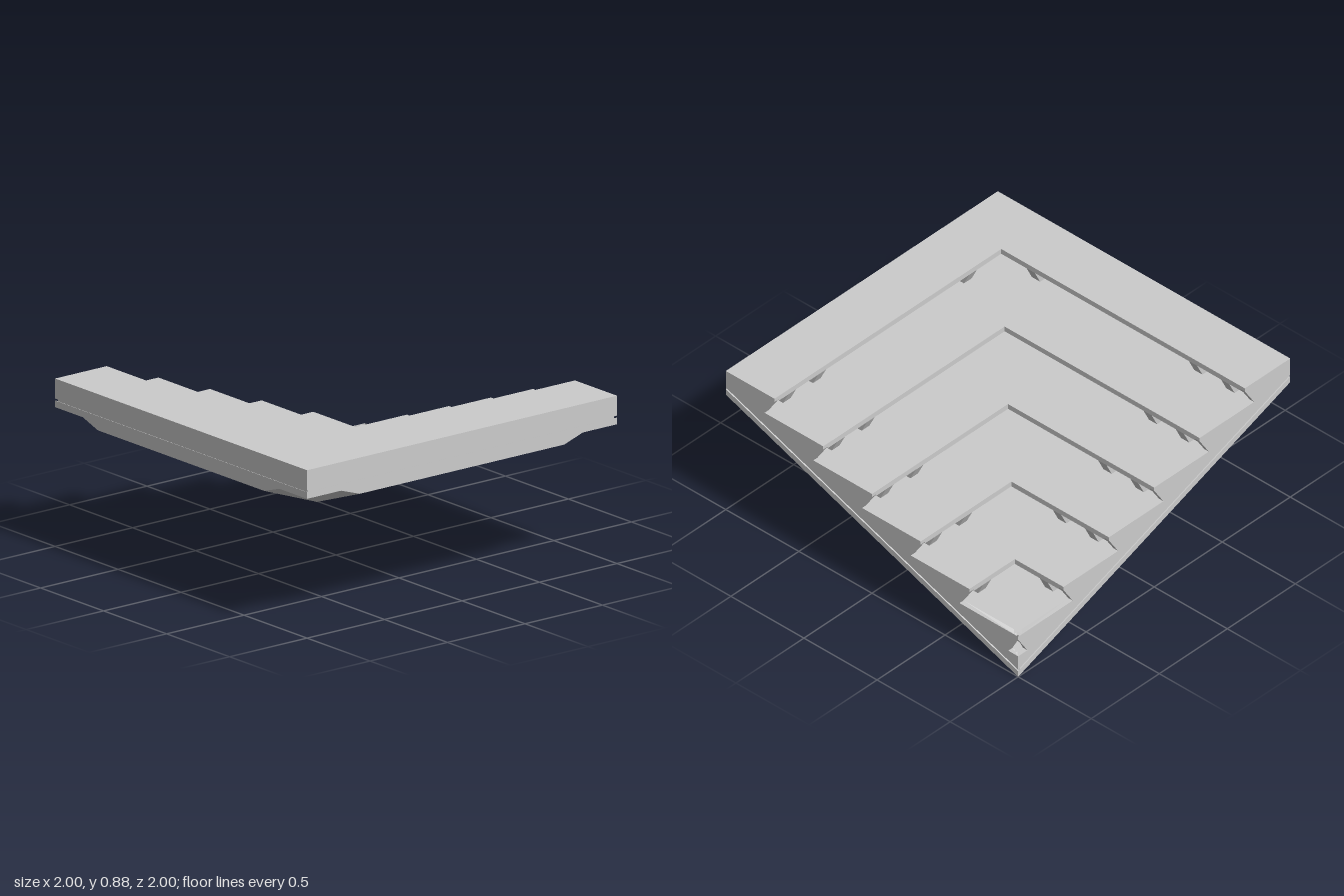
import * as THREE from 'three';

const material = new THREE.MeshStandardMaterial({ color: 0xcccccc, flatShading: true });
const STEPS = 6, RUN = 1 / 3, RISE = 0.125, TOP = 0.88;
const END = 0.97; // where the closing end plates begin

// Collects triangles; the mirrored leg swaps x and z and flips the winding.
function legGeometry(triangles, mirrored) {
  const positions = [];
  for (const [a, b, c] of triangles) {
    for (const [x, y, z] of mirrored ? [a, c, b] : [a, b, c]) {
      positions.push(...(mirrored ? [-z, y, -x] : [x, y, z]));
    }
  }
  const geometry = new THREE.BufferGeometry();
  geometry.setAttribute('position', new THREE.Float32BufferAttribute(positions, 3));
  geometry.computeVertexNormals();
  return geometry;
}

// Joins cross-sections [x, y, z][] (counter-clockwise in z, y) along x.
function loft(sections, capStart, capEnd) {
  const triangles = [];
  for (let s = 0; s + 1 < sections.length; s++) {
    const a = sections[s], b = sections[s + 1];
    a.forEach((_, i) => {
      const j = (i + 1) % a.length;
      triangles.push([a[i], b[i], b[j]], [a[i], b[j], a[j]]);
    });
  }
  const cap = (section, flip) => {
    const contour = section.map(([, y, z]) => new THREE.Vector2(z, y));
    for (const [i, j, k] of THREE.ShapeUtils.triangulateShape(contour, [])) {
      triangles.push(flip ? [section[i], section[k], section[j]] : [section[i], section[j], section[k]]);
    }
  };
  if (capStart) cap(sections[0], false);
  if (capEnd) cap(sections[sections.length - 1], true);
  return triangles;
}

// Extrudes a profile of [d, y] from the mitre (or from start) to end.
function run(profile, end, start = -1, capStart = false, capEnd = true) {
  const first = profile.map(([d, y]) => [Math.min(Math.max(-d, start), end), y, d]);
  const last = profile.map(([d, y]) => [end, y, d]);
  return loft([first, last], capStart, capEnd);
}

// Saw-toothed stair outline; each riser is given as offsets from its nose.
function stairProfile(riser) {
  const points = [[1, 0.775], [1, TOP]];
  for (let k = 1; k <= STEPS; k++) {
    const nose = 1 - k * RUN, y = TOP - (k - 1) * RISE;
    for (const [dd, dy] of riser) points.push([nose + dd, y + dy]);
  }
  points.push([-1, TOP - STEPS * RISE], [-1, 0.045]);
  return points;
}

export function createModel() {
  const model = new THREE.Group();
  model.name = 'cornerStairs';

  const addBothLegs = (name, triangles) => {
    for (const mirrored of [false, true]) {
      const mesh = new THREE.Mesh(legGeometry(triangles, mirrored), material);
      mesh.name = (mirrored ? 'right' : 'front') + name;
      model.add(mesh);
    }
  };

  // Treads with recessed risers under the noses
  const treads = stairProfile([[0, 0], [0, -0.03], [0.05, -0.045], [0.09, -RISE]]);
  addBothLegs('Steps', run(treads, END, -1, false, false));

  // Plates closing the open ends
  const plate = stairProfile([[0, 0], [0, -0.02], [0.068, -RISE]]);
  addBothLegs('EndPlate', run(plate, 1, END, true, true));

  // Shadow groove between the steps and the base slab
  addBothLegs('Groove', run([[0.99, 0.755], [0.99, 0.785], [-1, 0.05], [-1, 0.03]], 0.99));

  // Base slab: the sloping underside is thicker between its chamfered ends
  const stations = [[-1, 0], [-0.78, 0], [-0.66, 0.04], [0.66, 0.04], [0.78, 0], [1, 0]];
  const slab = stations.map(([c, drop]) => {
    const bottom = (d) => 0.365 + 0.365 * d - drop;
    const top = (d) => 0.4 + 0.365 * d;
    return [[c, bottom(-c), -c], [c, bottom(1), 1], [c, top(1), 1], [c, top(-c), -c]];
  });
  addBothLegs('BaseSlab', loft(slab, false, true));

  // Slanted brackets under the noses
  for (let k = 1; k < STEPS; k++) {
    const nose = 1 - k * RUN, y = TOP - (k - 1) * RISE;
    const bracket = [[0.055, -RISE], [0.11, -RISE], [0.07, -0.025], [0.005, -0.025]]
      .map(([dd, dy]) => [nose + dd, y + dy]);
    const places = [0.63, 0.85].filter((c) => c > -nose + 0.05);
    if (k === 1) places.push(-0.48);
    for (const c of places) {
      addBothLegs('Bracket', run(bracket, c + 0.028, c - 0.028, true, true));
    }
  }
  return model;
}
